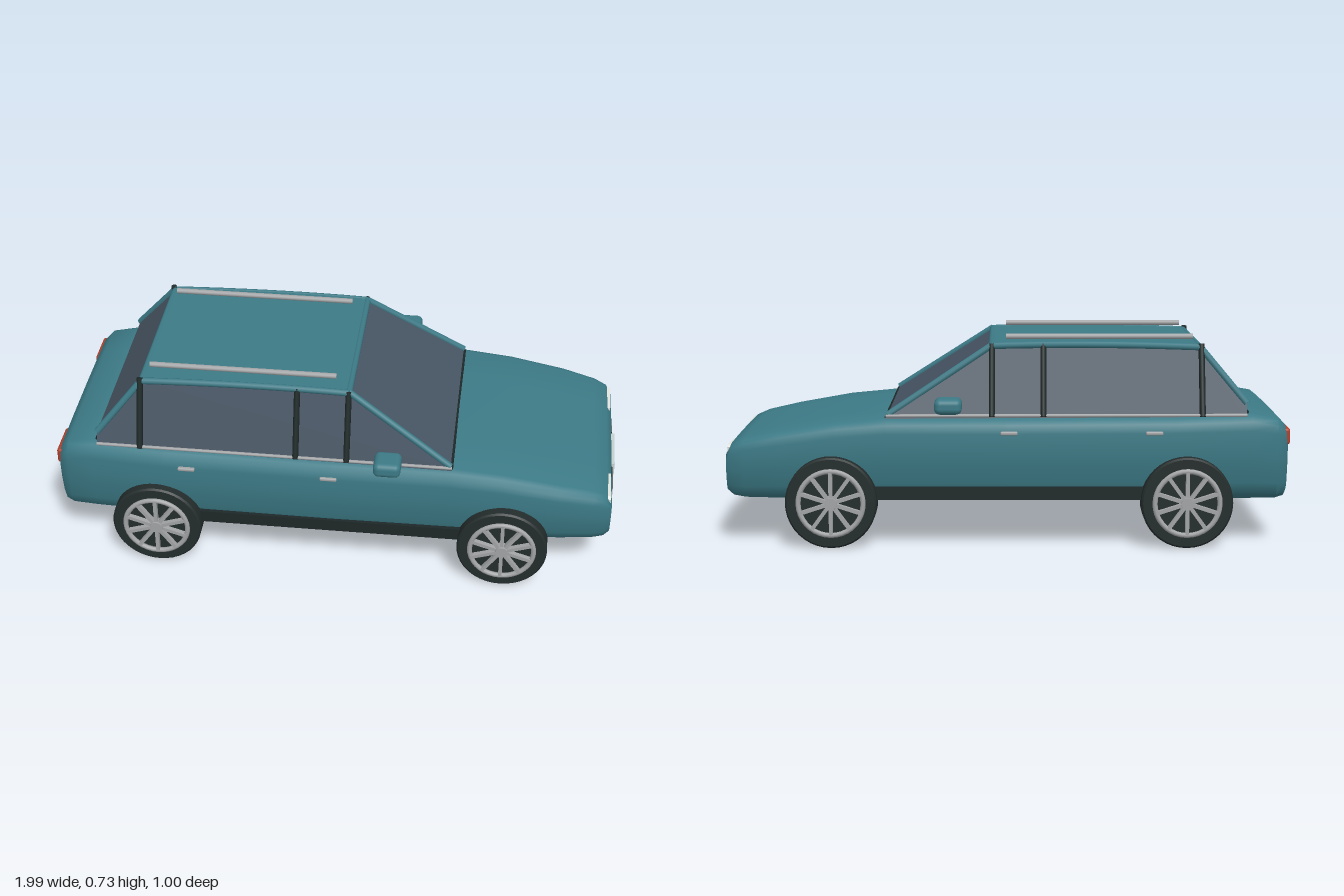
import * as THREE from 'three';
import { toCreasedNormals } from 'three/addons/utils/BufferGeometryUtils.js';
import { RoundedBoxGeometry } from 'three/addons/geometries/RoundedBoxGeometry.js';

const mat = (name, color) => new THREE.MeshStandardMaterial({ name, color });

export function createModel() {
  const car = new THREE.Group();
  car.name = 'car';
  const paint = mat('teal paint', 0x3c7a86);
  const glass = mat('tinted glass', 0x475563);
  const rubber = mat('black rubber', 0x232c2c);
  const trim = mat('dark trim', 0x1e2828);
  const chrome = mat('chrome', 0xa2a4a6);
  const lamp = mat('headlight', 0xe2e4de);
  const plateMat = mat('plate', 0xc4d0ce);
  const red = mat('tail light', 0xb0402c);

  const add = (name, geo, material, x = 0, y = 0, z = 0, parent = car) => {
    const m = new THREE.Mesh(geo, material);
    m.name = name;
    m.position.set(x, y, z);
    parent.add(m);
    return m;
  };
  const box = (name, material, size, pos, parent) =>
    add(name, new THREE.BoxGeometry(...size), material, ...pos, parent);

  // Round bar between two points
  const bar = (name, material, p, q, r, sides = 10) => {
    const a = new THREE.Vector3(...p), b = new THREE.Vector3(...q);
    const m = add(name, new THREE.CylinderGeometry(r, r, a.distanceTo(b), sides), material);
    m.position.copy(a).add(b).multiplyScalar(0.5);
    m.quaternion.setFromUnitVectors(new THREE.Vector3(0, 1, 0), b.sub(a).normalize());
    return m;
  };

  // Lower body: lofted sections [x, half width, bottom, top]
  const sections = [
    [-0.987, 0.37, 0.18, 0.4], [-0.98, 0.383, 0.166, 0.425], [-0.95, 0.4, 0.16, 0.455],
    [-0.86, 0.41, 0.16, 0.47], [-0.6, 0.42, 0.16, 0.462], [0, 0.424, 0.16, 0.458],
    [0.42, 0.42, 0.16, 0.457], [0.6, 0.415, 0.16, 0.44], [0.8, 0.405, 0.16, 0.405],
    [0.92, 0.387, 0.16, 0.379], [0.965, 0.375, 0.166, 0.36], [0.985, 0.36, 0.18, 0.325],
  ];
  // Half outline: [fraction of width, fraction of height]
  const half = [[0, 0], [0.85, 0], [0.92, 0.06], [0.96, 0.2], [0.99, 0.5], [1, 0.8],
    [0.985, 0.9], [0.95, 0.955], [0.9, 0.98], [0.5, 0.995], [0, 1]];
  const ring = [...half, ...half.slice(1, -1).reverse().map(([w, h]) => [-w, h])];
  const n = ring.length, pos = [], idx = [];
  for (const [x, w, lo, hi] of sections)
    for (const [fw, fh] of ring) pos.push(x, lo + fh * (hi - lo), fw * w);
  const last = sections.length - 1, back = (last + 1) * n, front = back + 1;
  for (const [x, , lo, hi] of [sections[0], sections[last]]) pos.push(x, (lo + hi) / 2, 0);
  for (let j = 0; j < n; j++) {
    const k = (j + 1) % n;
    for (let i = 0; i < last; i++) {
      const a = i * n + j, b = a + n, c = (i + 1) * n + k, d = i * n + k;
      idx.push(a, b, c, a, c, d);
    }
    idx.push(back, j, k, front, last * n + k, last * n + j);
  }
  const bodyGeo = new THREE.BufferGeometry();
  bodyGeo.setAttribute('position', new THREE.Float32BufferAttribute(pos, 3));
  bodyGeo.setIndex(idx);
  add('body', toCreasedNormals(bodyGeo, 0.72), paint);

  // Cabin glass: side profile extruded, sides leaning inward with height
  const halfWidth = y => 0.385 - (y - 0.455) * 0.32;
  const profile = [[-0.84, 0.44], [0.42, 0.44], [0.42, 0.455], [0.05, 0.695], [-0.68, 0.69], [-0.84, 0.5]];
  const cabinGeo = new THREE.ExtrudeGeometry(
    new THREE.Shape(profile.map(p => new THREE.Vector2(...p))), { depth: 1, bevelEnabled: false });
  const cp = cabinGeo.attributes.position;
  for (let i = 0; i < cp.count; i++)
    cp.setZ(i, (cp.getZ(i) > 0.5 ? 1 : -1) * halfWidth(cp.getY(i)));
  cabinGeo.computeVertexNormals();
  add('cabinGlass', cabinGeo, glass);

  // Roof panel, gently arched along its length
  const roofShape = new THREE.Shape();
  roofShape.moveTo(-0.685, 0.68);
  roofShape.lineTo(0.055, 0.685);
  roofShape.lineTo(0.055, 0.704);
  roofShape.quadraticCurveTo(-0.3, 0.716, -0.685, 0.698);
  const roofGeo = new THREE.ExtrudeGeometry(roofShape, { depth: 0.62, bevelEnabled: false });
  add('roof', toCreasedNormals(roofGeo, 0.5), paint, 0, 0, -0.31);
  bar('windshieldHeader', paint, [0.05, 0.695, -0.31], [0.05, 0.695, 0.31], 0.012);
  bar('rearHeader', paint, [-0.68, 0.69, -0.31], [-0.68, 0.69, 0.31], 0.011);
  bar('windshieldSeal', trim, [0.418, 0.453, -0.38], [0.418, 0.453, 0.38], 0.006);
  bar('rearWindowSeal', trim, [-0.842, 0.47, -0.37], [-0.842, 0.47, 0.37], 0.006);

  for (const s of [1, -1]) {
    const side = s > 0 ? 'left' : 'right';
    // Painted roof edges and sloping pillars
    const edge = new THREE.QuadraticBezierCurve3(
      new THREE.Vector3(0.05, 0.695, s * 0.31), new THREE.Vector3(-0.3, 0.706, s * 0.31),
      new THREE.Vector3(-0.68, 0.69, s * 0.31));
    add(side + 'RoofEdge', new THREE.TubeGeometry(edge, 12, 0.012, 8), paint);
    bar(side + 'FrontPillar', paint, [0.415, 0.46, s * 0.378], [0.05, 0.698, s * 0.307], 0.012);
    bar(side + 'RearPillar', paint, [-0.84, 0.5, s * 0.367], [-0.68, 0.692, s * 0.309], 0.012);
    // Dark upright pillars
    for (const x of [-0.685, -0.13, 0.05])
      bar(side + 'DoorPillar', trim, [x, 0.455, s * 0.388], [x, 0.702, s * 0.31], 0.011);
    // Chrome belt line, roof rail and door handles
    bar(side + 'BeltTrim', chrome, [-0.84, 0.46, s * 0.386], [0.42, 0.458, s * 0.386], 0.006);
    bar(side + 'RoofRail', chrome, [-0.66, 0.722, s * 0.25], [0, 0.722, s * 0.25], 0.01);
    for (const x of [-0.515, -0.01])
      add(side + 'DoorHandle', new RoundedBoxGeometry(0.06, 0.013, 0.02, 2, 0.005), chrome, x, 0.402, s * 0.421);
    box(side + 'Sill', trim, [1.1, 0.045, 0.04], [-0.01, 0.188, s * 0.395]);
    add(side + 'Mirror', new RoundedBoxGeometry(0.095, 0.053, 0.098, 4, 0.02), paint, 0.2, 0.503, s * 0.45);

    // Headlight: taller toward the outside
    const shape = new THREE.Shape([[0.205, 0.337], [0.205, 0.348], [0.34, 0.35], [0.352, 0.342],
      [0.346, 0.312], [0.325, 0.312], [0.28, 0.328]].map(([z, y]) => new THREE.Vector2(-s * z, y)));
    const lampGeo = new THREE.ExtrudeGeometry(shape, { depth: 0.035, bevelEnabled: false });
    lampGeo.rotateY(Math.PI / 2);
    add(side + 'Headlight', lampGeo, lamp, 0.945);
    add(side + 'TailLight', new RoundedBoxGeometry(0.035, 0.058, 0.14, 3, 0.01), red, -0.977, 0.383, s * 0.305);
  }

  // Grille with chrome bars, and plates
  box('grille', trim, [0.02, 0.085, 0.42], [0.98, 0.255, 0]);
  for (const y of [0.227, 0.25, 0.273])
    box('grilleBar', chrome, [0.01, 0.005, 0.39], [0.989, y, 0]);
  box('frontPlate', plateMat, [0.012, 0.046, 0.19], [0.992, 0.287, 0]);
  box('rearPlate', plateMat, [0.009, 0.05, 0.17], [-0.99, 0.285, 0]);

  // Wheels, built facing +z
  const R = 0.16;
  const tyreGeo = new THREE.LatheGeometry([[0, -0.042], [R - 0.006, -0.042], [R, -0.036], [R, 0.036],
    [R - 0.006, 0.042], [0.118, 0.042], [0.112, 0.03], [0, 0.03]].map(p => new THREE.Vector2(...p)), 40);
  tyreGeo.rotateX(Math.PI / 2);
  const tyre = toCreasedNormals(tyreGeo, 0.5);
  for (const x of [-0.63, 0.61]) for (const s of [1, -1]) {
    const wheel = new THREE.Group();
    wheel.name = (s > 0 ? 'left' : 'right') + (x > 0 ? 'FrontWheel' : 'RearWheel');
    wheel.position.set(x, R, s * 0.407);
    if (s < 0) wheel.rotation.y = Math.PI;
    car.add(wheel);
    add('tyre', tyre, rubber, 0, 0, 0, wheel);
    add('rim', new THREE.TorusGeometry(0.113, 0.009, 8, 36), chrome, 0, 0, 0.045, wheel);
    const hub = add('hub', new THREE.CylinderGeometry(0.022, 0.026, 0.03, 20), chrome, 0, 0, 0.043, wheel);
    hub.rotation.x = Math.PI / 2;
    for (let i = 0; i < 10; i++) {
      const a = (i / 10) * Math.PI * 2 + Math.PI / 10;
      const spoke = box('spoke', chrome, [0.1, 0.013, 0.018],
        [Math.cos(a) * 0.064, Math.sin(a) * 0.064, 0.044], wheel);
      spoke.rotation.z = a;
    }
  }
  return car;
}
